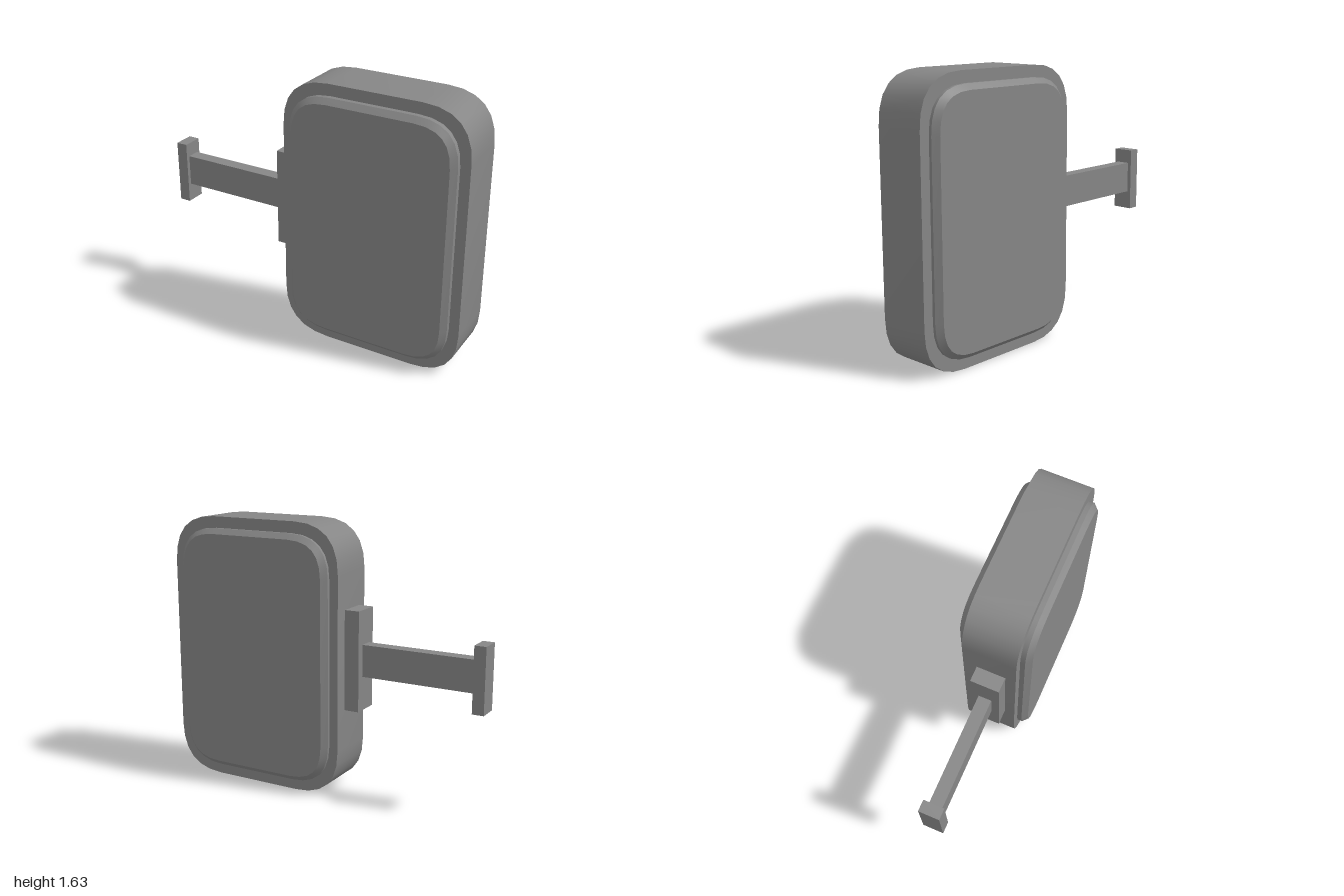
import * as THREE from 'three';
import { toCreasedNormals } from 'three/addons/utils/BufferGeometryUtils.js';

const material = new THREE.MeshStandardMaterial({ color: 0x868686 });

// Rounded rectangle with softly squared corners
function roundedRect(x0, x1, y0, y1, r) {
  const s = new THREE.Shape();
  s.moveTo(x0 + r, y0);
  s.lineTo(x1 - r, y0);
  s.quadraticCurveTo(x1, y0, x1, y0 + r);
  s.lineTo(x1, y1 - r);
  s.quadraticCurveTo(x1, y1, x1 - r, y1);
  s.lineTo(x0 + r, y1);
  s.quadraticCurveTo(x0, y1, x0, y1 - r);
  s.lineTo(x0, y0 + r);
  s.quadraticCurveTo(x0, y0, x0 + r, y0);
  return s;
}

// Extrude a shape from z0 to z1, with an optional inward chamfer at both ends
function slab(name, shape, z0, z1, chamfer = 0) {
  const geometry = new THREE.ExtrudeGeometry(shape, {
    depth: z1 - z0 - 2 * chamfer,
    curveSegments: 6,
    bevelEnabled: chamfer > 0,
    bevelThickness: chamfer,
    bevelSize: chamfer,
    bevelOffset: -chamfer,
    bevelSegments: 1,
  });
  geometry.translate(0, 0, z0 + chamfer);
  const mesh = new THREE.Mesh(toCreasedNormals(geometry, 0.6), material);
  mesh.name = name;
  return mesh;
}

// Box given by its extents, on the bracket's centre line
function block(name, x0, x1, y0, y1, depth) {
  const mesh = new THREE.Mesh(new THREE.BoxGeometry(x1 - x0, y1 - y0, depth), material);
  mesh.position.set((x0 + x1) / 2, (y0 + y1) / 2, 0.004);
  mesh.name = name;
  return mesh;
}

export function createModel() {
  const model = new THREE.Group();
  model.name = 'wallMountedSign';

  // Sign: outer frame and the chamfered panel standing proud on both faces
  model.add(slab('frame', roundedRect(-0.143, 1, 0, 1.63, 0.29), -0.166, 0.155));
  model.add(slab('facePanels', roundedRect(-0.088, 0.94, 0.068, 1.562, 0.25), -0.216, 0.216, 0.032));

  // Bracket: plate on the frame, arm, and plate at the wall
  model.add(block('framePlate', -0.235, -0.143, 0.528, 1.13, 0.175));
  model.add(block('arm', -0.93, -0.235, 0.733, 0.925, 0.08));
  model.add(block('wallPlate', -1, -0.93, 0.62, 1.01, 0.127));

  return model;
}
